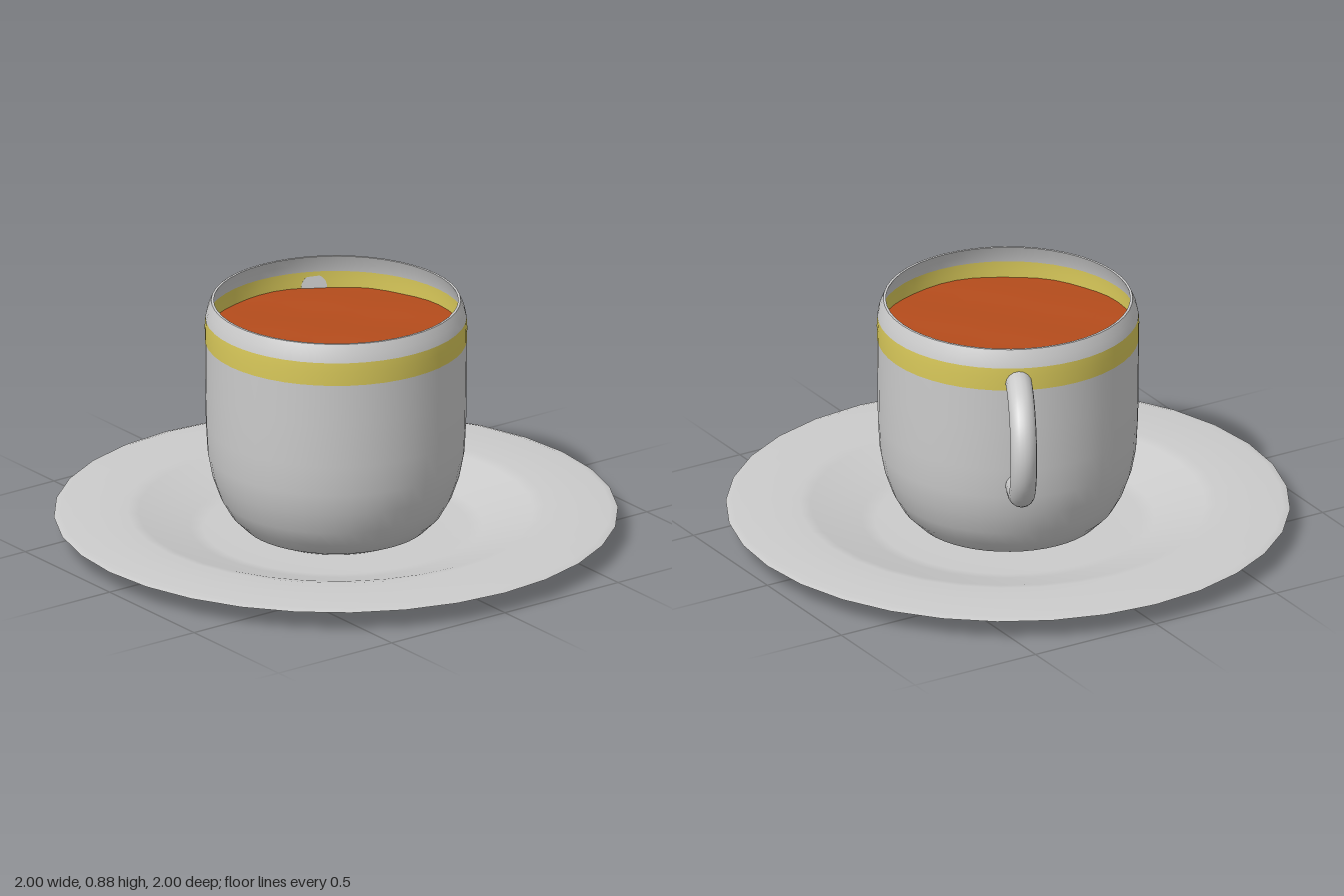
import * as THREE from 'three';

const grey = new THREE.MeshStandardMaterial({ color: 0xcccccc });
const yellow = new THREE.MeshStandardMaterial({ color: 0xd9c95a });
const tea = new THREE.MeshStandardMaterial({ color: 0xb54c1c });

// Revolve a list of [radius, height] pairs; upward profiles face outwards
function lathe(name, profile, material, segments) {
  const points = profile.map(([r, y]) => new THREE.Vector2(r, y));
  const mesh = new THREE.Mesh(new THREE.LatheGeometry(points, segments), material);
  mesh.name = name;
  return mesh;
}

function createSaucer() {
  const saucer = new THREE.Group();
  saucer.name = 'saucer';
  saucer.add(
    lathe('saucerUnderside', [[0, 0], [0.3, 0], [0.5, 0.003], [0.72, 0.074], [0.85, 0.076], [1, 0.075]], grey, 32),
    lathe('saucerTop', [[1, 0.075], [0.975, 0.083], [0.85, 0.086], [0.74, 0.088], [0.7, 0.08],
      [0.52, 0.026], [0.47, 0.02], [0.3, 0.02], [0, 0.02]], grey, 32),
  );
  return saucer;
}

function createCup() {
  const cup = new THREE.Group();
  cup.name = 'cup';
  const seg = 48;

  // Rounded bowl rising into a nearly straight wall
  const wall = [[0.28, 0.02], [0.33, 0.042], [0.378, 0.09], [0.412, 0.15], [0.44, 0.23],
    [0.455, 0.31], [0.461, 0.42], [0.463, 0.58], [0.464, 0.73]];
  const band = [[0.464, 0.73], [0.465, 0.78], [0.463, 0.815]];
  const rim = [[0.463, 0.815], [0.456, 0.845], [0.442, 0.879]];

  // The inner skin follows the outer one, slightly smaller and reversed
  const inner = (profile) => profile.map(([r, y]) => [r - 0.009, y]).reverse();

  cup.add(
    lathe('cupBase', [[0, 0.02], [0.28, 0.02]], grey, seg),
    lathe('cupWall', wall, grey, seg),
    lathe('goldBand', band, yellow, seg),
    lathe('cupRim', rim, grey, seg),
    lathe('rimEdge', [[0.442, 0.879], [0.4375, 0.881], [0.433, 0.879]], grey, seg),
    lathe('innerRim', inner(rim), grey, seg),
    lathe('innerBand', inner(band), yellow, seg),
    lathe('innerWall', inner(wall), grey, seg),
  );
  return cup;
}

// Drink surface with faint ripples
function createDrink() {
  const rings = [];
  for (let i = 0; i <= 16; i++) rings.push(new THREE.Vector2(0.455 * (1 - i / 16), 0));
  const geometry = new THREE.LatheGeometry(rings, 48);
  const p = geometry.attributes.position;
  for (let i = 0; i < p.count; i++) {
    const x = p.getX(i), z = p.getZ(i);
    p.setY(i, 0.003 * Math.sin(13 * x + 5 * z) * Math.sin(17 * z - 4 * x));
  }
  geometry.computeVertexNormals();
  const drink = new THREE.Mesh(geometry, tea);
  drink.name = 'drink';
  drink.position.y = 0.755;
  return drink;
}

// Round C-shaped handle, drawn in the x-y plane and turned towards the back left
function createHandle() {
  const path = [[0.45, 0.757], [0.51, 0.751], [0.59, 0.718], [0.655, 0.648], [0.68, 0.56],
    [0.66, 0.465], [0.6, 0.39], [0.52, 0.362], [0.45, 0.355]];
  const curve = new THREE.CatmullRomCurve3(path.map(([r, y]) => new THREE.Vector3(r, y, 0)));
  const handle = new THREE.Group();
  handle.name = 'handle';
  const tube = new THREE.Mesh(new THREE.TubeGeometry(curve, 40, 0.047, 16), grey);
  tube.name = 'handleTube';
  handle.add(tube);

  // Close both ends of the tube
  for (const t of [0, 1]) {
    const cap = new THREE.Mesh(new THREE.CircleGeometry(0.047, 16), grey);
    cap.name = t ? 'handleLowerEnd' : 'handleUpperEnd';
    cap.position.copy(curve.getPointAt(t));
    const facing = curve.getTangentAt(t).multiplyScalar(t ? 1 : -1);
    cap.quaternion.setFromUnitVectors(new THREE.Vector3(0, 0, 1), facing);
    handle.add(cap);
  }
  handle.rotation.y = Math.atan2(0.89, 0.45);
  return handle;
}

export function createModel() {
  const model = new THREE.Group();
  model.name = 'cupAndSaucer';
  model.add(createSaucer(), createCup(), createDrink(), createHandle());
  return model;
}
